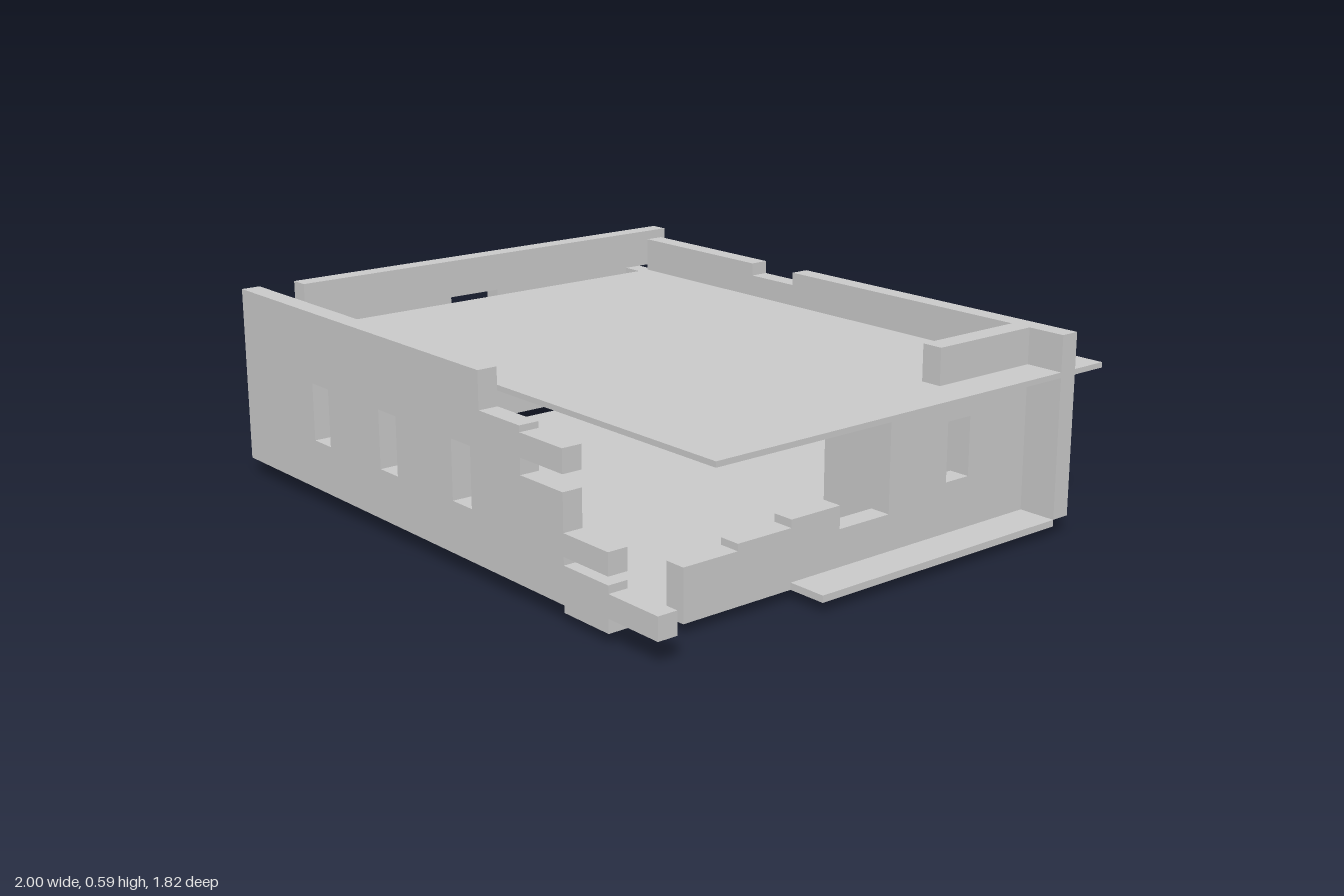
import * as THREE from 'three';

export function createModel() {
  const model = new THREE.Group();
  model.name = 'unfinishedHouse';
  const plaster = new THREE.MeshStandardMaterial({ color: 0xc8c8c8 });
  plaster.name = 'pale grey plaster';

  const add = (name, geometry) => {
    const mesh = new THREE.Mesh(geometry, plaster);
    mesh.name = name;
    model.add(mesh);
    return mesh;
  };

  // box from its limits on each axis
  const block = (name, x0, x1, y0, y1, z0, z1) =>
    add(name, new THREE.BoxGeometry(x1 - x0, y1 - y0, z1 - z0)
      .translate((x0 + x1) / 2, (y0 + y1) / 2, (z0 + z1) / 2));

  // upright panel from an outline and rectangular openings [u0, u1, v0, v1]
  const panel = (outline, openings, depth) => {
    const shape = new THREE.Shape(outline.map(([u, v]) => new THREE.Vector2(u, v)));
    for (const [u0, u1, v0, v1] of openings) {
      shape.holes.push(new THREE.Path([[u0, v0], [u0, v1], [u1, v1], [u1, v0]]
        .map(([u, v]) => new THREE.Vector2(u, v))));
    }
    return new THREE.ExtrudeGeometry(shape, { depth, bevelEnabled: false });
  };

  // front wall with a broken, toothed end
  add('frontWall', panel([
    [-1, 0.05], [0.63, 0.05], [0.63, 0.03], [0.81, 0.03], [0.81, 0.07], [1, 0.07], [1, 0.135],
    [0.81, 0.135], [0.81, 0.157], [0.63, 0.157], [0.63, 0.18], [0.81, 0.18], [0.81, 0.243],
    [0.63, 0.243], [0.63, 0.35], [0.45, 0.35], [0.45, 0.397], [0.63, 0.397], [0.63, 0.464],
    [0.45, 0.464], [0.45, 0.482], [0.27, 0.482], [0.27, 0.59], [-1, 0.59],
  ], [-0.595, -0.23, 0.135].map((x) => [x, x + 0.09, 0.2, 0.375]), 0.06).translate(0, 0, 0.845));

  // side walls: outlines run along z
  add('rightSideWall', panel([
    [-0.61, 0.05], [-0.18, 0.05], [-0.18, 0.028], [0, 0.028], [0, 0.05], [0.725, 0.05],
    [0.725, 0.59], [-0.725, 0.59], [-0.725, 0.47], [-0.61, 0.47],
  ], [[0.41, 0.505, 0.2, 0.375], [0, 0.185, 0.157, 0.47], [-0.315, -0.225, 0.2, 0.375]], 0.06)
    .rotateY(-Math.PI / 2).translate(-0.94, 0, 0));

  add('leftSideWall', panel([
    [-0.55, 0.05], [0.725, 0.05], [0.725, 0.18], [0.545, 0.18], [0.545, 0.2], [0.36, 0.2],
    [0.36, 0.223], [0.185, 0.223], [0.185, 0.157], [0, 0.157], [0, 0.47], [-0.55, 0.47],
  ], [[-0.315, -0.225, 0.2, 0.375]], 0.065).rotateY(-Math.PI / 2).translate(0.88, 0, 0));

  // back wall pieces between the openings
  for (const [x0, x1] of [[-0.94, -0.82], [-0.45, -0.275], [0.27, 0.45], [0.815, 1]]) {
    block('backWallPiece', x0, x1, 0.05, 0.47, -0.61, -0.55);
  }

  // inner partitions
  for (const [x0, x1, z0, z1] of [
    [-0.82, -0.28, -0.42, -0.36], [0.27, 0.815, -0.42, -0.36], [0.63, 0.815, -0.06, 0],
  ]) {
    block('partition', x0, x1, 0.05, 0.47, z0, z1);
  }

  // partition feet that just show under the floor
  for (const [x0, x1, z0, z1] of [
    [-0.45, -0.28, -0.42, -0.36], [0.63, 0.85, -0.42, -0.36], [0.63, 0.85, -0.06, 0],
  ]) {
    block('partitionFoot', x0, x1, 0.026, 0.04, z0, z1);
  }

  // floor with rear porch and side walkway
  const floorOutline = [
    [-0.82, -0.725], [0.88, -0.725], [0.88, -0.36], [1, -0.36], [1, 0.55], [0.45, 0.55],
    [0.45, 0.91], [-0.275, 0.91], [-0.275, 0.55], [-0.82, 0.55],
  ];
  add('floorSlab', panel(floorOutline, [], 0.02).rotateX(-Math.PI / 2).translate(0, 0.03, 0));
  block('sideStep', -0.98, -0.84, 0, 0.05, 0.2, 0.345);

  // flat roof and its parapets
  block('roofSlab', -0.82, 1, 0.467, 0.483, -0.73, 0.725);
  add('backParapet', panel([
    [-0.82, 0.483], [1, 0.483], [1, 0.59], [-0.09, 0.59], [-0.09, 0.55], [-0.28, 0.55],
    [-0.28, 0.59], [-0.82, 0.59],
  ], [], 0.06).translate(0, 0, -0.61));
  block('sideParapet', 0.815, 0.88, 0.483, 0.59, -0.55, -0.185);

  return model;
}
